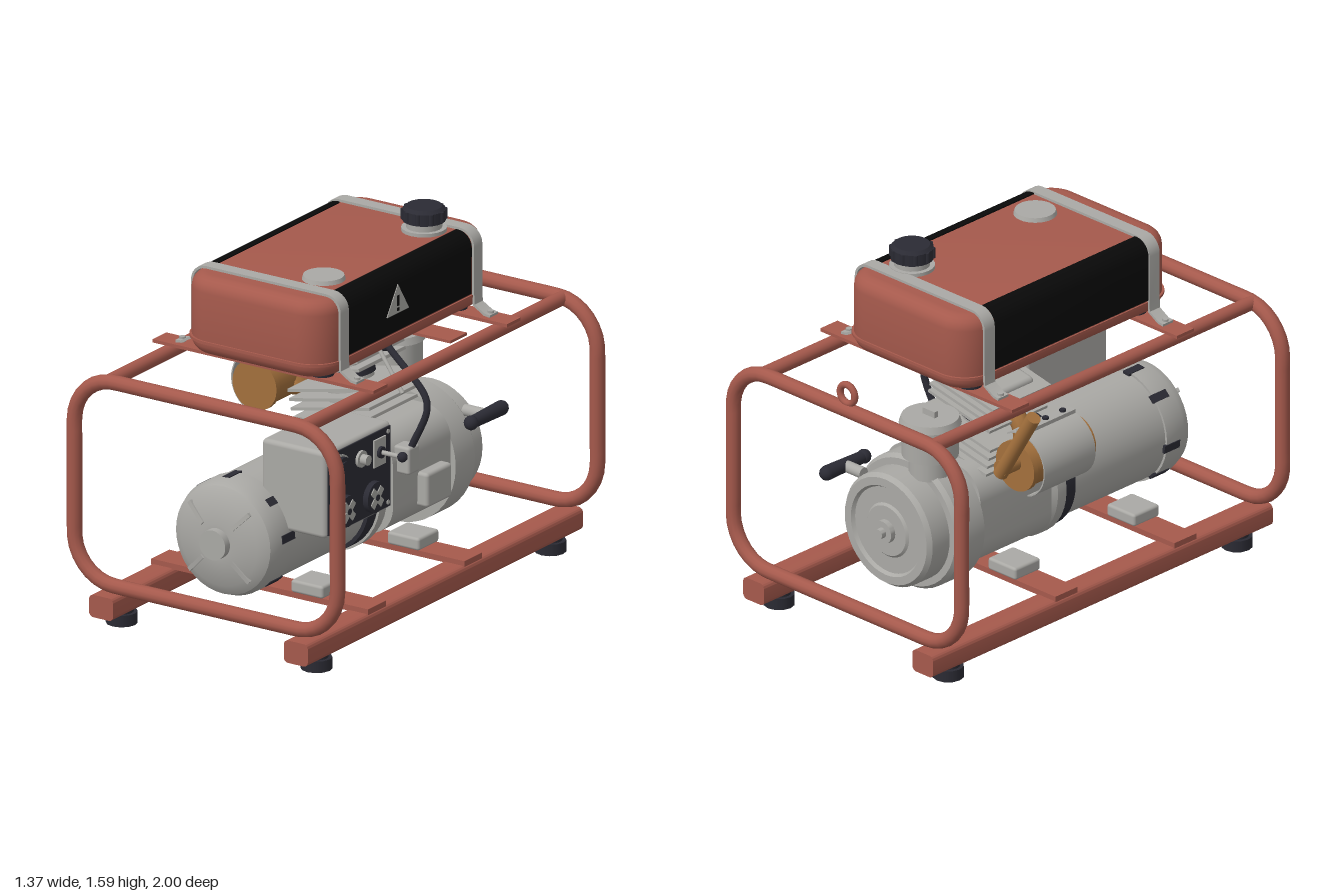
import * as THREE from 'three';
import { toCreasedNormals } from 'three/addons/utils/BufferGeometryUtils.js';
import { RoundedBoxGeometry } from 'three/addons/geometries/RoundedBoxGeometry.js';

const paint = (name, color) => {
  const m = new THREE.MeshStandardMaterial({ color });
  m.name = name;
  return m;
};

export function createModel() {
  const model = new THREE.Group();
  model.name = 'portableGenerator';
  const red = paint('redPaint', 0xa5594c);
  const grey = paint('castGrey', 0xaaa9a5);
  const dark = paint('darkRubber', 0x2b2b34);
  const black = paint('blackPanel', 0x090909);
  const bronze = paint('bronzeExhaust', 0xa3703c);
  const V = (x, y, z) => new THREE.Vector3(x, y, z);

  // ---- helpers ----
  const add = (name, geo, mat, x = 0, y = 0, z = 0, parent = model) => {
    const m = new THREE.Mesh(geo, mat);
    m.name = name;
    m.position.set(x, y, z);
    parent.add(m);
    return m;
  };
  const box = (name, mat, w, h, d, x, y, z, parent) =>
    add(name, new THREE.BoxGeometry(w, h, d), mat, x, y, z, parent);
  const rod = (name, mat, a, b, r, r2 = r, sides = 20) => {
    const dir = b.clone().sub(a);
    const m = add(name, new THREE.CylinderGeometry(r2, r, dir.length(), sides), mat);
    m.position.copy(a).lerp(b, 0.5);
    m.quaternion.setFromUnitVectors(V(0, 1, 0), dir.normalize());
    return m;
  };
  const pipe = (name, mat, pts, r) =>
    add(name, new THREE.TubeGeometry(new THREE.CatmullRomCurve3(pts), 24, r, 10), mat);
  const roundRect = (hw, hh, r) => {
    const s = new THREE.Shape();
    s.moveTo(hw, -hh + r);
    s.lineTo(hw, hh - r).absarc(hw - r, hh - r, r, 0, Math.PI / 2);
    s.lineTo(-hw + r, hh).absarc(-hw + r, hh - r, r, Math.PI / 2, Math.PI);
    s.lineTo(-hw, -hh + r).absarc(-hw + r, -hh + r, r, Math.PI, Math.PI * 1.5);
    s.lineTo(hw - r, -hh).absarc(hw - r, -hh + r, r, Math.PI * 1.5, Math.PI * 2);
    return s;
  };
  const extrude = (shape, depth, bevel = 0) => toCreasedNormals(new THREE.ExtrudeGeometry(shape, {
    depth, bevelEnabled: bevel > 0, bevelSize: bevel, bevelThickness: bevel, bevelSegments: 5, curveSegments: 8,
  }), 0.6);
  // thin sheet following a 2D path, extruded along z
  const band = (name, mat, pts, t, z0, z1) => {
    const outer = pts.map((p, i) => {
      const a = pts[Math.max(i - 1, 0)], b = pts[Math.min(i + 1, pts.length - 1)];
      const l = Math.hypot(b[0] - a[0], b[1] - a[1]);
      return [p[0] + (b[1] - a[1]) / l * t, p[1] - (b[0] - a[0]) / l * t];
    });
    const s = new THREE.Shape([...pts, ...outer.reverse()].map(p => new THREE.Vector2(...p)));
    return add(name, extrude(s, z1 - z0), mat, 0, 0, z0);
  };
  const arc = (cx, cy, r, a0, a1, n) => Array.from({ length: n + 1 }, (_, i) => {
    const a = a0 + (a1 - a0) * i / n;
    return [cx + r * Math.cos(a), cy + r * Math.sin(a)];
  });
  // turned part around the shaft, profile given as [radius, z]
  const turned = (name, mat, profile) => {
    const g = new THREE.LatheGeometry(profile.map(p => new THREE.Vector2(...p)), 40);
    g.rotateX(Math.PI / 2);
    return add(name, toCreasedNormals(g, 0.6), mat, 0, 0.45, 0);
  };

  // ---- tubular frame ----
  const loop = roundRect(0.655, 0.445, 0.2).getSpacedPoints(80).slice(0, -1).map(p => V(p.x, p.y, 0));
  const hoop = new THREE.TubeGeometry(new THREE.CatmullRomCurve3(loop, true), 96, 0.032, 12, true);
  for (const z of [-0.945, 0.945]) add('endHoop', hoop, red, 0, 0.637, z);
  for (const s of [-1, 1]) {
    rod('topRail', red, V(s * 0.485, 1.08, -0.945), V(s * 0.485, 1.08, 0.945), 0.03);
    add('baseRail', extrude(roundRect(0.06, 0.049, 0.022), 2), red, s * 0.485, 0.107, -1);
    for (const z of [-0.85, 0.85]) {
      rod('rubberFoot', dark, V(s * 0.485, 0, z), V(s * 0.485, 0.05, z), 0.066, 0.066, 12);
      rod('footNeck', dark, V(s * 0.485, 0.05, z), V(s * 0.485, 0.062, z), 0.05);
    }
  }
  add('liftingEye', new THREE.TorusGeometry(0.042, 0.015, 10, 24), red, 0, 1.155, -0.945);
  for (const z of [0.49, -0.21]) {
    box('baseCrossPlate', red, 1.08, 0.025, 0.13, 0, 0.165, z);
    for (const s of [-1, 1]) {
      add('mountPad', new RoundedBoxGeometry(0.16, 0.055, 0.15, 2, 0.012), grey, s * 0.24, 0.205, z);
    }
  }
  for (const z of [-0.49, 0.48]) {
    box('tankCrossPlate', red, 1.1, 0.014, 0.1, 0, 1.12, z);
    for (const s of [-1, 1]) rod('tankPad', dark, V(s * 0.26, 1.125, z), V(s * 0.26, 1.15, z), 0.05);
  }
  box('tapBracket', red, 0.2, 0.012, 0.12, 0.36, 1.115, -0.22);

  // ---- fuel tank ----
  const tank = extrude(roundRect(0.3, 0.56, 0.08), 0.22, 0.06);
  tank.rotateX(-Math.PI / 2);
  add('fuelTank', tank, red, 0, 1.2, 0);
  const seam = extrude(roundRect(0.366, 0.628, 0.14), 0.012);
  seam.rotateX(-Math.PI / 2);
  add('tankSeam', seam, red, 0, 1.2, 0);
  const corner = arc(0.3, 1.42, 0.062, 0, Math.PI / 2, 6);
  const mirror = pts => pts.map(([x, y]) => [-x, y]).reverse();
  const halfStrap = [[0.45, 1.128], [0.42, 1.132], [0.366, 1.165], [0.362, 1.22], ...corner];
  for (const z of [-0.49, 0.48]) {
    band('tankStrap', grey, [...halfStrap, ...mirror(halfStrap)], 0.011, z - 0.03, z + 0.03);
    for (const s of [-1, 1]) rod('strapBolt', grey, V(s * 0.435, 1.12, z), V(s * 0.435, 1.15, z), 0.014, 0.014, 6);
  }
  const side = [[0.361, 1.22], ...corner, [0.29, 1.482]];
  band('sidePanel', black, side, 0.006, -0.45, 0.45);
  band('sidePanel', black, mirror(side), 0.006, -0.45, 0.45);
  const tri = new THREE.Shape([[-0.08, 0], [0.08, 0], [0, 0.125]].map(p => new THREE.Vector2(...p)));
  const sign = extrude(tri, 0.004);
  sign.rotateY(Math.PI / 2);
  add('warningTriangle', sign, grey, 0.367, 1.3, 0.09);
  box('warningBar', black, 0.004, 0.045, 0.013, 0.372, 1.355, 0.09);
  box('warningDot', black, 0.004, 0.013, 0.013, 0.372, 1.317, 0.09);
  rod('fuelGauge', grey, V(0.165, 1.475, 0.33), V(0.165, 1.498, 0.33), 0.092, 0.085, 32);
  rod('fillerNeck', grey, V(0.175, 1.475, -0.385), V(0.175, 1.53, -0.385), 0.075);
  rod('fillerFlange', grey, V(0.175, 1.475, -0.385), V(0.175, 1.495, -0.385), 0.095);
  rod('fuelCap', dark, V(0.175, 1.525, -0.385), V(0.175, 1.575, -0.385), 0.09);
  rod('fuelCapTop', dark, V(0.175, 1.575, -0.385), V(0.175, 1.588, -0.385), 0.088, 0.075);
  for (let i = 0; i < 10; i++) {
    const a = i * Math.PI / 5, x = 0.175 + 0.086 * Math.cos(a), z = -0.385 + 0.086 * Math.sin(a);
    rod('capGrip', dark, V(x, 1.53, z), V(x, 1.575, z), 0.011, 0.011, 6);
  }

  // ---- alternator ----
  turned('alternatorBody', grey, [[0, -0.02], [0.24, -0.02], [0.268, 0.02], [0.268, 0.07], [0.24, 0.07], [0.24, 0.68],
    [0.25, 0.68], [0.25, 0.78], [0.235, 0.82], [0.19, 0.85], [0.08, 0.866], [0.065, 0.866], [0.065, 0.9], [0, 0.9]]);
  turned('alternatorBand', dark, [[0.235, 0.07], [0.257, 0.07], [0.257, 0.135], [0.235, 0.135]]);
  for (let i = 0; i < 8; i++) {
    const ring = new THREE.Group();
    ring.name = 'alternatorDetail';
    ring.position.y = 0.45;
    ring.rotation.z = (i + (i % 2 ? 0 : 0.15)) * Math.PI / 4;
    model.add(ring);
    box('ventSlot', dark, 0.012, 0.035, 0.09, 0.247, 0, 0.71, ring);
    if (i % 2) box('endRib', grey, 0.11, 0.018, 0.02, 0.155, 0, 0.852, ring).rotation.y = 0.14;
  }

  // ---- engine block and blower ----
  add('crankcase', extrude(roundRect(0.27, 0.22, 0.13), 0.42), grey, 0, 0.48, -0.44);
  add('sideCover', new RoundedBoxGeometry(0.08, 0.15, 0.18, 2, 0.015), grey, 0.28, 0.42, -0.29);
  add('governorBox', new RoundedBoxGeometry(0.08, 0.12, 0.08, 2, 0.012), grey, 0.29, 0.595, -0.09);
  turned('blowerHousing', grey, [[0, -0.765], [0.022, -0.765], [0.022, -0.74], [0.05, -0.74], [0.05, -0.715],
    [0.11, -0.715], [0.12, -0.705], [0.19, -0.705], [0.2, -0.72], [0.235, -0.72], [0.25, -0.7], [0.25, -0.6],
    [0.28, -0.6], [0.295, -0.58], [0.295, -0.44], [0, -0.44]]);
  rod('starterStub', grey, V(0.2, 0.62, -0.645), V(0.3, 0.62, -0.645), 0.025);
  rod('starterGrip', dark, V(0.31, 0.62, -0.53), V(0.31, 0.62, -0.75), 0.026, 0.032);
  for (const z of [-0.53, -0.75]) add('starterGripEnd', new THREE.SphereGeometry(0.031, 14, 10), dark, 0.31, 0.62, z);

  // air filter on top of the blower
  rod('filterNeck', grey, V(-0.08, 0.68, -0.54), V(-0.08, 0.77, -0.54), 0.09);
  rod('airFilter', grey, V(-0.08, 0.77, -0.54), V(-0.08, 0.92, -0.54), 0.118, 0.118, 32);
  rod('filterLid', grey, V(-0.08, 0.915, -0.54), V(-0.08, 0.945, -0.54), 0.13, 0.12, 32);
  box('filterWingNut', grey, 0.07, 0.03, 0.02, -0.08, 0.957, -0.54);

  // tilted finned cylinder
  const cyl = new THREE.Group();
  cyl.name = 'cylinder';
  cyl.position.set(0, 0.45, -0.215);
  cyl.rotation.z = 0.2;
  model.add(cyl);
  add('barrel', new THREE.CylinderGeometry(0.1, 0.11, 0.32, 24), grey, 0, 0.33, 0, cyl);
  add('headGasketBand', new THREE.CylinderGeometry(0.112, 0.112, 0.05, 24), dark, 0, 0.435, 0, cyl);
  add('cylinderHead', new RoundedBoxGeometry(0.25, 0.14, 0.26, 2, 0.02), grey, 0, 0.53, 0, cyl);
  for (const y of [0.265, 0.305, 0.345, 0.385, 0.47, 0.505, 0.54, 0.575]) {
    box('coolingFin', grey, y > 0.4 ? 0.36 : 0.4, 0.013, 0.34, 0, y, 0, cyl);
  }
  rod('sparkPlug', dark, V(0.04, 0.99, -0.215), V(0.12, 1.01, -0.215), 0.018);
  rod('throttleRod', grey, V(0.11, 1.02, -0.15), V(0.25, 0.86, -0.12), 0.009);

  // fuel tap and hose
  rod('fuelTap', grey, V(0.15, 1.05, -0.13), V(0.15, 1.15, -0.13), 0.025);
  pipe('fuelHose', dark, [V(0.15, 1.07, -0.125), V(0.21, 1.02, -0.12), V(0.37, 0.88, -0.105),
    V(0.385, 0.82, -0.1), V(0.31, 0.64, -0.09)], 0.015);

  // ---- exhaust ----
  rod('muffler', bronze, V(-0.43, 0.78, -0.39), V(-0.43, 0.78, -0.05), 0.1, 0.1, 28);
  for (const z of [-0.4, -0.06]) rod('mufflerRim', bronze, V(-0.43, 0.78, z), V(-0.43, 0.78, z + 0.025), 0.11, 0.11, 28);
  pipe('exhaustElbow', bronze, [V(-0.38, 0.74, -0.215), V(-0.31, 0.76, -0.215), V(-0.28, 0.86, -0.215), V(-0.19, 0.94, -0.215)], 0.04);
  rod('exhaustFlange', red, V(-0.26, 0.91, -0.215), V(-0.235, 0.915, -0.215), 0.055);
  rod('tailStub', bronze, V(-0.43, 0.8, -0.38), V(-0.43, 0.8, -0.49), 0.035);
  rod('tailPipe', bronze, V(-0.42, 0.77, -0.475), V(-0.61, 1.09, -0.475), 0.031).material = bronze;
  band('heatShield', grey, arc(-0.43, 0.78, 0.135, 1.0, 4.4, 20), 0.006, -0.37, -0.07);
  box('shieldClip', grey, 0.05, 0.04, 0.3, -0.43, 0.915, -0.22);
  for (const z of [-0.32, -0.22, -0.12]) rod('shieldBolt', dark, V(-0.43, 0.93, z), V(-0.43, 0.945, z), 0.014, 0.014, 8);

  // ---- control box ----
  add('controlBox', new RoundedBoxGeometry(0.32, 0.38, 0.48, 3, 0.02), grey, 0.267, 0.69, 0.46);
  box('controlFace', dark, 0.008, 0.35, 0.45, 0.429, 0.69, 0.46);
  box('boxFoot', grey, 0.2, 0.03, 0.3, 0.23, 0.49, 0.46);
  const knob = (name, mat, r, x0, x1, y, z) => rod(name, mat, V(x0, y, z), V(x1, y, z), r);
  knob('dialBezel', grey, 0.072, 0.43, 0.438, 0.775, 0.605);
  knob('dial', dark, 0.063, 0.43, 0.455, 0.775, 0.605);
  knob('dialFace', dark, 0.045, 0.45, 0.462, 0.775, 0.605);
  knob('button', grey, 0.036, 0.43, 0.445, 0.785, 0.455);
  knob('buttonCap', grey, 0.022, 0.44, 0.475, 0.785, 0.455);
  box('switchPlate', grey, 0.008, 0.12, 0.085, 0.436, 0.775, 0.32);
  knob('switchCollar', dark, 0.025, 0.435, 0.452, 0.775, 0.32);
  knob('switchStem', grey, 0.01, 0.45, 0.54, 0.775, 0.32);
  add('switchBall', new THREE.SphereGeometry(0.022, 14, 10), dark, 0.55, 0.775, 0.32);
  for (const z of [0.575, 0.37]) {
    knob('outlet', dark, 0.067, 0.43, 0.458, 0.595, z);
    for (const a of [Math.PI / 4, -Math.PI / 4]) {
      box('outletCross', grey, 0.006, 0.1, 0.032, 0.459, 0.595, z).rotation.x = a;
    }
    knob('outletCentre', dark, 0.014, 0.458, 0.464, 0.595, z);
  }
  for (const y of [0.535, 0.845]) for (const z of [0.255, 0.665]) knob('panelScrew', grey, 0.01, 0.43, 0.437, y, z);
  return model;
}
